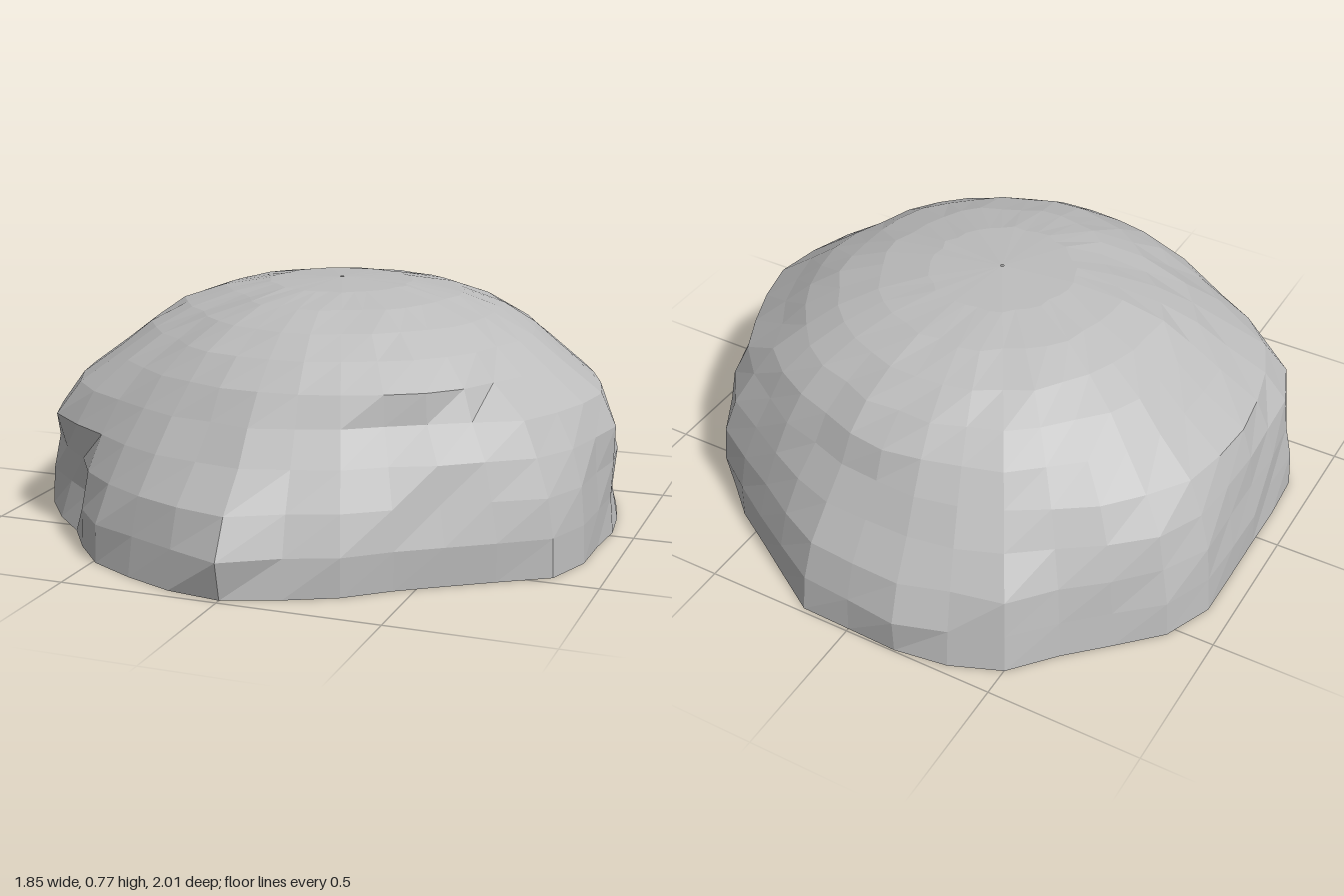
import * as THREE from 'three';

const SEGMENTS = 36;
const LEVELS = 10;
const HEIGHT = 0.775;
const CENTRE_Z = -0.035;

// Widest radius every 10 degrees, from the front (+z) round through +x
const OUTLINE = [
  1.035, 0.97, 0.935, 0.89, 0.89, 0.92, 0.987, 0.97, 0.93,
  0.93, 0.925, 0.93, 0.94, 0.948, 0.92, 0.9, 0.92, 0.97,
  0.96, 0.98, 1.0, 1.008, 0.964, 0.967, 0.997, 0.99, 0.945,
  0.93, 0.945, 0.98, 0.943, 0.912, 0.941, 0.98, 0.989, 1.01,
];
// Per level: round radius, share of the outline kept, inward slope at front and back
const RADIUS = [0.925, 0.918, 0.91, 0.9, 0.85, 0.72, 0.63, 0.525, 0.39, 0.23, 0.006];
const SHARE = [1, 0.9, 0.85, 0.55, 0.35, 0.1, 0, 0, 0, 0, 0];
const SLOPE = [0, 0, 0.03, 0.09, 0.1, 0.01, 0, 0, 0, 0, 0];

// Bulges, chips and ledges: [first segment, level, changes of radius along the ring]
const CHIPS = [
  // Ledge at the front left
  [3, 5, [0.02, 0.025, 0.025]], [3, 4, [-0.03, -0.04, -0.03]],
  // Overhanging shoulder at the front right, with flattened slope above
  [29, 4, [0.01, 0.04, 0.03, 0.01]], [29, 3, [0.02, 0.05, 0.045, 0.01]],
  [30, 1, [-0.025, -0.035]], [30, 2, [-0.01, -0.01]],
  [29, 6, [-0.01, -0.02, -0.03, -0.03, -0.02]],
  [29, 7, [-0.02, -0.04, -0.05, -0.04, -0.02]],
  [29, 8, [-0.02, -0.04, -0.05, -0.04, -0.02]],
  // Fuller left shoulder
  [8, 4, [0.015, 0.02, 0.01]], [8, 5, [0.03, 0.035, 0.02]], [8, 6, [0.015, 0.02, 0.01]],
  // Notch on the left side
  [9, 3, [0.03, -0.015, -0.015]], [10, 1, [-0.02, -0.025]],
  // Rounded foot at the back left
  [12, 0, [-0.025, -0.03, -0.01]], [13, 5, [0.02, 0.02]],
  // Foot at the front and back
  [0, 0, [-0.015]], [0, 1, [0.04]], [19, 1, [0.015]], [20, 2, [-0.03]],
];

function seeded(seed) {
  let s = seed;
  return () => (s = (s * 16807) % 2147483647) / 2147483647;
}

// Radii of every ring, with slight roughness
function ringRadii() {
  const random = seeded(41);
  const radii = RADIUS.map((round, level) => OUTLINE.map((edge, k) => {
    const facing = Math.cos((k / SEGMENTS) * Math.PI * 2) ** 2;
    const rough = level > 0 && level < LEVELS ? (random() - 0.5) * 0.02 : 0;
    return round + (edge - 0.93) * SHARE[level] - SLOPE[level] * facing + rough;
  }));
  for (const [first, level, changes] of CHIPS) {
    changes.forEach((change, i) => { radii[level][first + i] += change; });
  }
  return radii;
}

// Open shell lofted through the rings
function shellGeometry() {
  const positions = [];
  const indices = [];
  ringRadii().forEach((ring, level) => {
    const y = HEIGHT * Math.sin((level / LEVELS) * Math.PI / 2);
    ring.forEach((r, k) => {
      const angle = (k / SEGMENTS) * Math.PI * 2;
      positions.push(r * Math.sin(angle), y, CENTRE_Z + r * Math.cos(angle));
    });
  });
  for (let level = 0; level < LEVELS; level++) {
    for (let k = 0; k < SEGMENTS; k++) {
      const next = (k + 1) % SEGMENTS;
      const a = level * SEGMENTS + k;
      const b = level * SEGMENTS + next;
      const c = b + SEGMENTS;
      const d = a + SEGMENTS;
      indices.push(a, b, c, a, c, d);
    }
  }
  const geometry = new THREE.BufferGeometry();
  geometry.setAttribute('position', new THREE.Float32BufferAttribute(positions, 3));
  geometry.setIndex(indices);
  // Separate the triangles so each facet is flat
  const flat = geometry.toNonIndexed();
  flat.computeVertexNormals();
  return flat;
}

export function createModel() {
  const stone = new THREE.MeshStandardMaterial({ color: 0xbcbcbc, side: THREE.DoubleSide });
  stone.name = 'stone grey';

  const rock = new THREE.Mesh(shellGeometry(), stone);
  rock.name = 'rockShell';

  const model = new THREE.Group();
  model.name = 'boulder';
  model.add(rock);
  return model;
}
